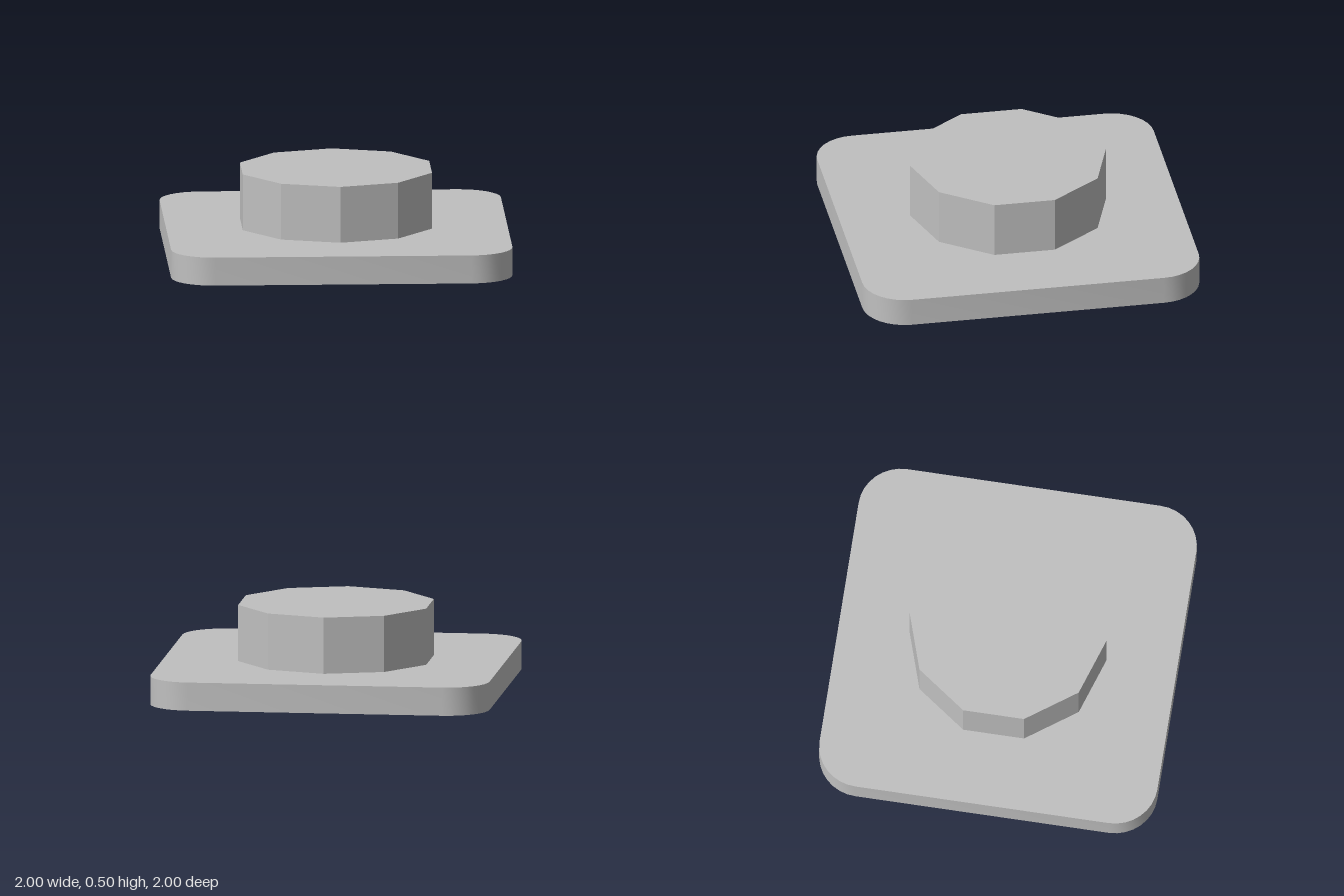
import * as THREE from 'three';
import { toCreasedNormals } from 'three/addons/utils/BufferGeometryUtils.js';

const BASE_HEIGHT = 0.167;
const TOP_HEIGHT = 0.5;

// Square outline with rounded corners
function roundedSquare(half, radius) {
  const shape = new THREE.Shape();
  const c = half - radius;
  const corners = [[c, c], [-c, c], [-c, -c], [c, -c]];
  corners.forEach(([x, y], i) => {
    shape.absarc(x, y, radius, i * Math.PI / 2, (i + 1) * Math.PI / 2, false);
  });
  shape.closePath();
  return shape;
}

export function createModel() {
  const model = new THREE.Group();
  model.name = 'pedestal';
  const grey = new THREE.MeshStandardMaterial({ color: 0xc0c0c0 });
  grey.name = 'light grey';

  // Flat base plate, smooth around its corners
  const plate = new THREE.ExtrudeGeometry(roundedSquare(1, 0.25), {
    depth: BASE_HEIGHT, bevelEnabled: false, curveSegments: 4,
  });
  plate.rotateX(-Math.PI / 2);
  const base = new THREE.Mesh(toCreasedNormals(plate, 0.6), grey);
  base.name = 'basePlate';
  model.add(base);

  // Ten-sided block with flat faces, one corner facing the front
  const height = TOP_HEIGHT - BASE_HEIGHT;
  const drum = new THREE.CylinderGeometry(0.583, 0.583, height, 10);
  const block = new THREE.Mesh(toCreasedNormals(drum, 0.3), grey);
  block.name = 'tenSidedBlock';
  block.position.y = BASE_HEIGHT + height / 2;
  model.add(block);

  return model;
}
